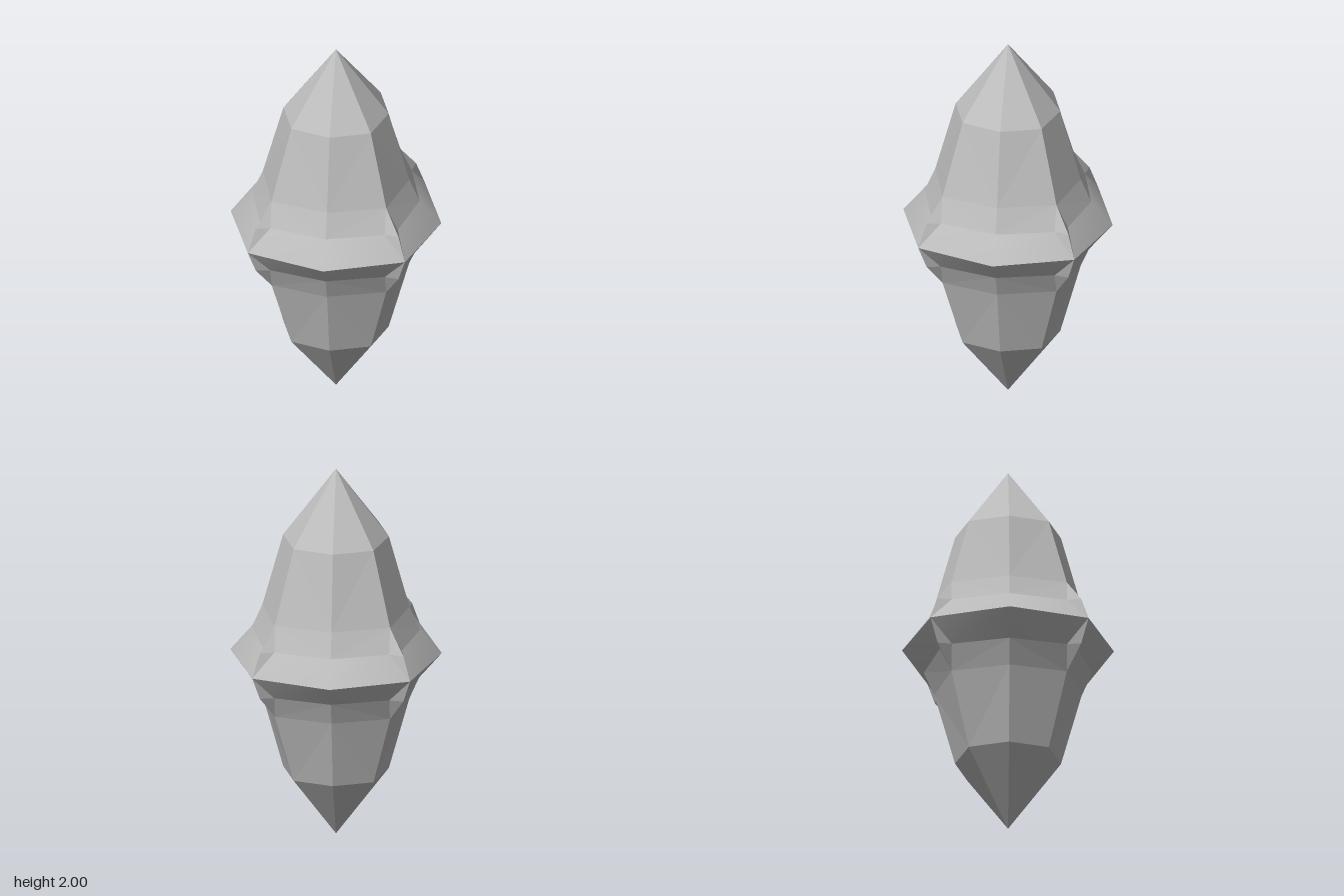
import * as THREE from 'three';

const stone = new THREE.MeshStandardMaterial({ color: 0xbcbcbc });
stone.name = 'grey stone';

// Points of the upper half: on the x axis, on the diagonal, and around the ridge spur
const P = {
  tip: [0, 2, 0],
  a1: [0.287, 1.635, 0], d1: [0.19, 1.635, 0.19],
  a2: [0.414, 1.25, 0], d2: [0.264, 1.25, 0.264],
  side: [0.455, 1.125, 0.042], spur: [0.515, 1.125, 0], d3: [0.302, 1.125, 0.302],
  a4: [0.567, 1, 0], d4: [0.38, 1, 0.38],
};
const swap = ([x, y, z]) => [z, y, x];

// Mirrors a list of triangles by the signs; the winding flips on an odd number of mirrors
function mirror(tris, sx, sy, sz) {
  return tris.map((t) => {
    const m = t.map(([x, y, z]) => [sx * x, 1 + sy * (y - 1), sz * z * 1.01]);
    return sx * sy * sz < 0 ? m.reverse() : m;
  });
}

function flatGeometry(tris) {
  const g = new THREE.BufferGeometry();
  g.setAttribute('position', new THREE.Float32BufferAttribute(tris.flat(2), 3));
  g.computeVertexNormals();
  return g;
}

// Smooths the normals inside one panel by sharing its equal corners
function smoothGeometry(tris) {
  const points = [], index = [], seen = new Map();
  for (const p of tris.flat()) {
    const key = p.join();
    if (!seen.has(key)) {
      seen.set(key, seen.size);
      points.push(...p);
    }
    index.push(seen.get(key));
  }
  const g = new THREE.BufferGeometry();
  g.setAttribute('position', new THREE.Float32BufferAttribute(points, 3));
  g.setIndex(index);
  g.computeVertexNormals();
  return g;
}

const quad = (a, b, c, d) => [[a, b, c], [a, c, d]];
// Adds the octant on the other side of the diagonal
const quadrant = (tris) => [...tris, ...tris.map((t) => t.map(swap).reverse())];

export function createModel() {
  const group = new THREE.Group();
  group.name = 'spindleCrystal';

  const point = quadrant([[P.tip, P.d1, P.a1]]);
  const body = quadrant([...quad(P.a1, P.d1, P.d2, P.a2), ...quad(P.a2, P.d2, P.d3, P.side)]);
  const spur = quadrant([[P.a2, P.side, P.spur], [P.side, P.a4, P.spur]]);
  const girdle = quadrant([[P.side, P.d3, P.d4], [P.side, P.d4, P.a4]]);

  const add = (name, geometry) => {
    const mesh = new THREE.Mesh(geometry, stone);
    mesh.name = name;
    group.add(mesh);
  };

  for (const sy of [1, -1]) {
    const half = sy > 0 ? 'upper' : 'lower';
    const all = (tris) => [1, -1].flatMap((sx) => [1, -1].flatMap((sz) => mirror(tris, sx, sy, sz)));
    add(half + 'Point', flatGeometry(all(point)));
    add(half + 'Body', flatGeometry(all(body)));
    add(half + 'RidgeSpurs', flatGeometry(all(spur)));
    // Girdle panels are smooth across the diagonal and sharp at the ridges
    for (const sx of [1, -1])
      for (const sz of [1, -1]) add(half + 'GirdlePanel', smoothGeometry(mirror(girdle, sx, sy, sz)));
  }
  return group;
}
